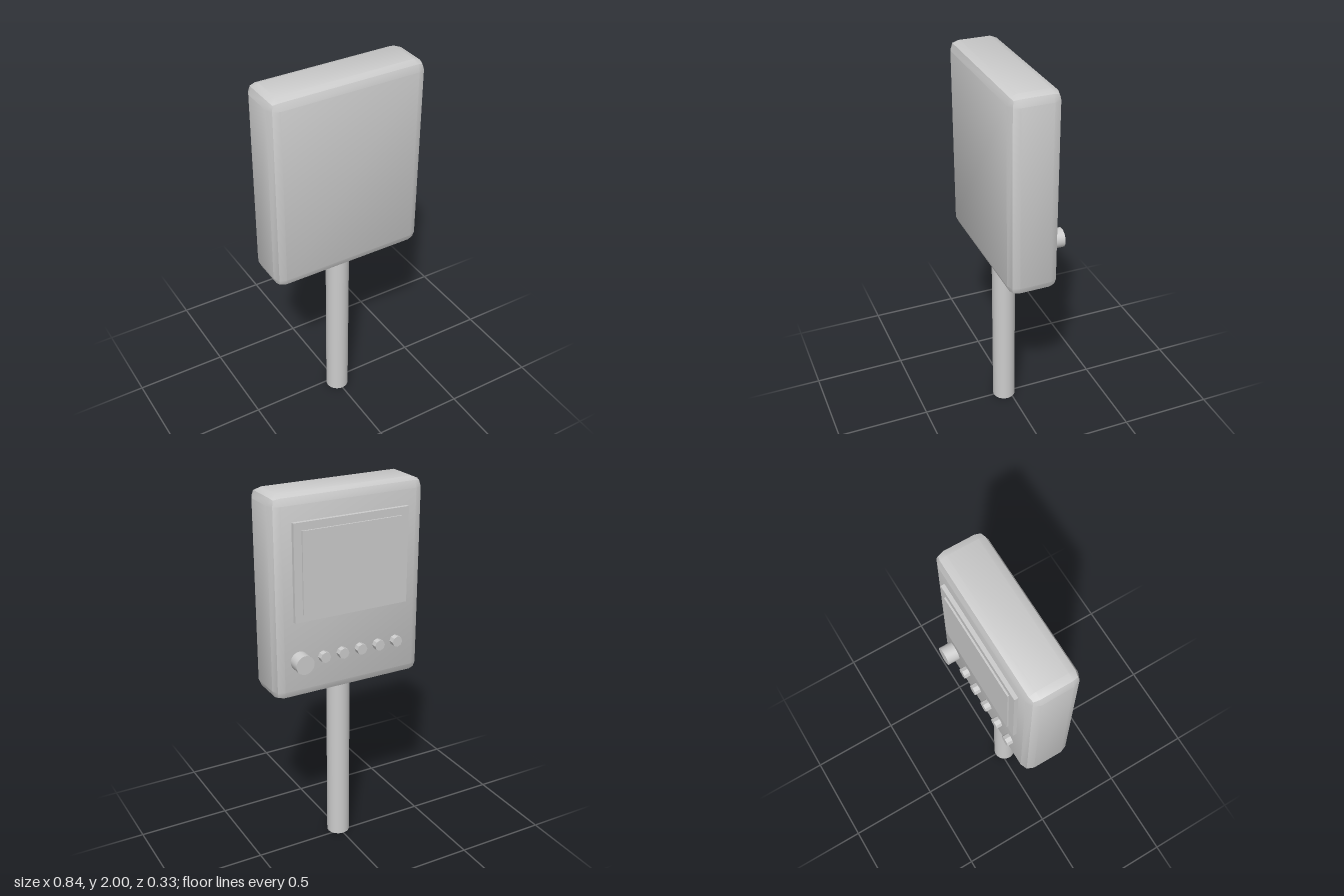
import * as THREE from 'three';
import { toCreasedNormals } from 'three/addons/utils/BufferGeometryUtils.js';
import { RoundedBoxGeometry } from 'three/addons/geometries/RoundedBoxGeometry.js';

export function createModel() {
  const model = new THREE.Group();
  const grey = new THREE.MeshStandardMaterial({ color: 0xcccccc });
  grey.name = 'plain grey';

  const add = (name, geometry, x, y, z) => {
    const mesh = new THREE.Mesh(geometry, grey);
    mesh.name = name;
    mesh.position.set(x, y, z);
    model.add(mesh);
    return mesh;
  };

  // Cylinder lying along z, from the housing's back face out to zEnd
  const BACK = -0.1;
  const dial = (name, radius, sides, x, y, zEnd) => {
    const inside = BACK + 0.01;
    const geometry = new THREE.CylinderGeometry(radius, radius, inside - zEnd, sides);
    geometry.rotateX(-Math.PI / 2).rotateZ(Math.PI / 2);
    add(name, toCreasedNormals(geometry, Math.PI / 6), x, y, (inside + zEnd) / 2);
  };

  // Housing with two-facet softened edges, creased along the middle of each edge
  const housing = new RoundedBoxGeometry(0.84, 1.05, 0.262, 1, 0.05);
  add('housing', toCreasedNormals(housing, Math.PI / 6), 0, 1.475, 0.031);

  // Handle
  add('handle', new THREE.CylinderGeometry(0.062, 0.062, 0.96, 32), 0, 0.48, 0.031);

  // Screen, stepped outward from its frame
  add('screenFrame', new THREE.BoxGeometry(0.634, 0.5, 0.03), 0, 1.62, -0.105);
  add('screen', new THREE.BoxGeometry(0.55, 0.42, 0.02), 0, 1.62, -0.119);

  // Large knob and a row of small buttons
  dial('knob', 0.05, 24, 0.288, 1.16, -0.165);
  for (let i = 0; i < 5; i++) {
    dial('button' + (i + 1), 0.029, 8, -0.264 + i * 0.105, 1.16, -0.132);
  }

  return model;
}
